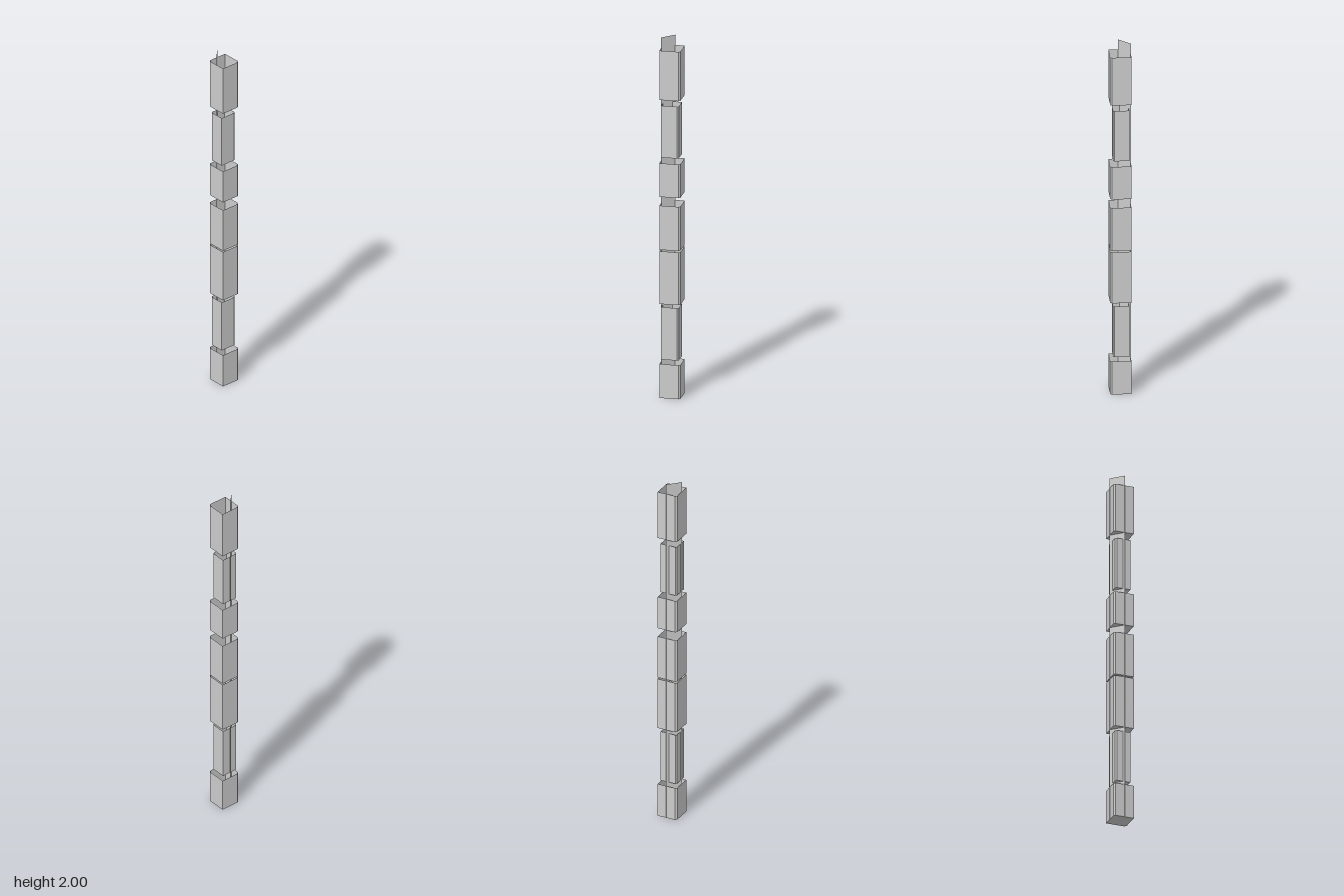
import * as THREE from 'three';

const material = new THREE.MeshStandardMaterial({ color: 0xcccccc, flatShading: true, side: THREE.DoubleSide });

// Square outline in plan (x, z) with two opposite corners cut off
function outline(x0, x1, z0, z1, cut) {
  return [
    [x0, z0], [x1 - cut, z0], [x1, z0 + cut],
    [x1, z1], [x0 + cut, z1], [x0, z1 - cut],
  ].map(([x, z]) => new THREE.Vector2(x, z));
}

// Thin-walled sleeve with a floor and an open top
function createSleeve(name, points, bottom, top) {
  const sleeve = new THREE.Group();
  sleeve.name = name;

  const corners = [];
  points.forEach((a, i) => {
    const b = points[(i + 1) % points.length];
    corners.push(a.x, bottom, a.y, a.x, top, a.y, b.x, top, b.y);
    corners.push(a.x, bottom, a.y, b.x, top, b.y, b.x, bottom, b.y);
  });
  const wallGeometry = new THREE.BufferGeometry();
  wallGeometry.setAttribute('position', new THREE.Float32BufferAttribute(corners, 3));
  wallGeometry.computeVertexNormals();
  const walls = new THREE.Mesh(wallGeometry, material);
  walls.name = 'sleeveWalls';

  const floor = new THREE.Mesh(new THREE.ShapeGeometry(new THREE.Shape(points)), material);
  floor.name = 'sleeveFloor';
  floor.rotation.x = Math.PI / 2;
  floor.position.y = bottom;

  sleeve.add(walls, floor);
  return sleeve;
}

export function createModel() {
  const model = new THREE.Group();
  model.name = 'segmentedColumn';

  const wide = outline(-0.057, 0.056, -0.057, 0.056, 0.009);
  const narrow = outline(-0.046, 0.039, -0.045, 0.05, 0.007);

  // Sleeves stacked from the ground up: bottom, top, plan
  const sleeves = [
    [0, 0.19, wide],
    [0.21, 0.503, narrow],
    [0.526, 0.821, wide],
    [0.829, 1.076, wide],
    [1.125, 1.313, wide],
    [1.34, 1.63, narrow],
    [1.667, 1.943, wide],
  ];
  sleeves.forEach(([bottom, top, plan]) => {
    model.add(createSleeve(plan === wide ? 'wideSleeve' : 'narrowSleeve', plan, bottom, top));
  });

  // Flat spine set diagonally across one corner, running through every sleeve
  const spine = new THREE.Mesh(new THREE.PlaneGeometry(0.089, 2), material);
  spine.name = 'spine';
  spine.position.set(-0.026, 1, 0.026);
  spine.rotation.y = -Math.PI / 4;
  model.add(spine);

  return model;
}
